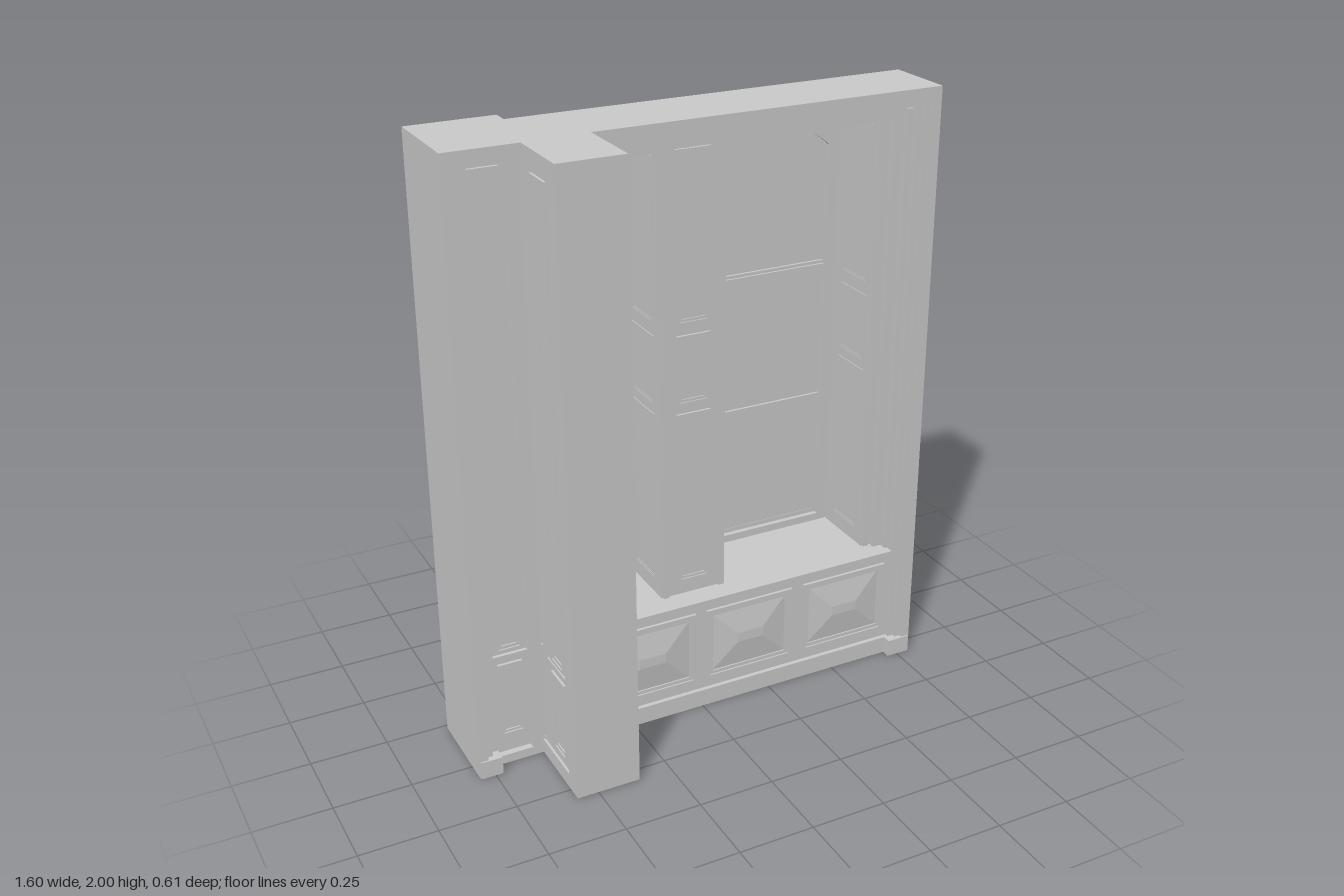
import * as THREE from 'three';

const material = new THREE.MeshStandardMaterial({ color: 0xcccccc, side: THREE.DoubleSide });
const WALL = -0.035; // front plane of the wall above the seat

function add(parent, name, geometry) {
  const mesh = new THREE.Mesh(geometry, material);
  mesh.name = name;
  parent.add(mesh);
  return mesh;
}

// Box given by its limits on each axis
function block(parent, name, x0, x1, y0, y1, z0, z1) {
  const mesh = add(parent, name, new THREE.BoxGeometry(x1 - x0, y1 - y0, z1 - z0));
  mesh.position.set((x0 + x1) / 2, (y0 + y1) / 2, (z0 + z1) / 2);
}

function rect(x0, x1, y0, y1, T = THREE.Shape) {
  const s = new T();
  s.moveTo(x0, y0);
  s.lineTo(x1, y0);
  s.lineTo(x1, y1);
  s.lineTo(x0, y1);
  s.closePath();
  return s;
}

// Rectangle with a shallow arched head
function arch(halfW, y0, ySide, rise, T = THREE.Shape) {
  const s = new T();
  s.moveTo(-halfW, y0);
  s.lineTo(halfW, y0);
  s.lineTo(halfW, ySide);
  s.bezierCurveTo(halfW * 0.55, ySide + rise * 1.33, -halfW * 0.55, ySide + rise * 1.33, -halfW, ySide);
  s.closePath();
  return s;
}

function sheet(parent, name, shape, holes, z, depth) {
  shape.holes.push(...holes);
  const mesh = add(parent, name, new THREE.ExtrudeGeometry(shape, { depth, bevelEnabled: false, curveSegments: 14 }));
  mesh.position.z = z;
}

// Framed panel facing +z: stepped moulding, with a pyramid field where wanted
function panel(parent, name, w, h, border, relief, field = 0) {
  const g = new THREE.Group();
  g.name = name;
  for (const [inset, depth] of [[0, relief], [border, relief / 2]]) {
    const a = w / 2 - inset, b = h / 2 - inset;
    sheet(g, 'panelMoulding', rect(-a, a, -b, b), [rect(-a + border, a - border, -b + border, b - border, THREE.Path)], 0, depth);
  }
  if (field) {
    const fw = w - border * 4, fh = h - border * 4;
    const slope = Math.min(fw, fh) * 0.42;
    const geo = new THREE.BoxGeometry(fw, fh, field);
    const p = geo.attributes.position;
    for (let i = 0; i < p.count; i++) {
      if (p.getZ(i) < 0) continue;
      p.setX(i, p.getX(i) - Math.sign(p.getX(i)) * slope);
      p.setY(i, p.getY(i) - Math.sign(p.getY(i)) * slope);
    }
    geo.computeVertexNormals();
    add(g, 'raisedField', geo).position.z = field / 2;
  }
  parent.add(g);
  return g;
}

// Window bay: deep reveals, head, sill and arched window at the back
function windowBay(cx, panelledSides) {
  const bay = new THREE.Group();
  bay.name = 'windowBay';
  bay.position.x = cx;
  const w = 0.28, y0 = 0.405, y1 = 1.9, back = -0.28;
  for (const s of [-1, 1]) {
    const x = s * (w - 0.007);
    block(bay, 'reveal', x - 0.007, x + 0.007, y0, y1, back, WALL);
    if (!panelledSides.includes(s)) continue;
    for (const [a, b] of [[0.46, 1.05], [1.08, 1.31], [1.35, 1.87]]) {
      for (const face of [-1, 1]) {
        const p = panel(bay, 'revealPanel', 0.15, b - a, 0.006, 0.003);
        p.position.set(x + face * 0.007, (a + b) / 2, -0.145);
        p.rotation.y = face * Math.PI / 2;
      }
    }
  }
  block(bay, 'revealHead', -w, w, y1 - 0.015, y1, back, WALL);
  const soffit = panel(bay, 'headPanel', 0.44, 0.15, 0.006, 0.003);
  soffit.position.set(0, y1, -0.145);
  soffit.rotation.x = -Math.PI / 2;
  block(bay, 'sill', -w, w, 0.39, y0 + 0.003, back, WALL);
  // Frame, its arched bead and the protruding sash behind
  sheet(bay, 'windowFrame', rect(-w, w, y0, 1.89), [arch(0.232, 0.43, 1.77, 0.08, THREE.Path)], -0.295, 0.025);
  sheet(bay, 'frameBead', arch(0.245, 0.418, 1.775, 0.085), [arch(0.225, 0.44, 1.765, 0.08, THREE.Path)], -0.27, 0.01);
  sheet(bay, 'sash', arch(0.245, 0.418, 1.775, 0.085), [arch(0.222, 0.445, 1.762, 0.08, THREE.Path)], -0.305, 0.012);
  sheet(bay, 'glass', arch(0.232, 0.43, 1.77, 0.08), [], -0.298, 0.004);
  // Glazing bars, the upper one moulded
  for (const [y, h, z] of [[1.35, 0.04, -0.285], [1.35, 0.02, -0.278], [0.885, 0.014, -0.285]]) {
    block(bay, 'glazingBar', -0.23, 0.23, y - h / 2, y + h / 2, -0.305, z);
  }
  for (const y of [0.58, 1.19, 1.57]) block(bay, 'hinge', -0.245, -0.23, y - 0.02, y + 0.02, -0.27, -0.255);
  return bay;
}

export function createModel() {
  const model = new THREE.Group();
  model.name = 'panelledWindowWall';

  // Outer shell, open at the back
  block(model, 'shellTop', -0.8, 0.8, 1.97, 2, -0.18, 0.055);
  block(model, 'shellFloor', -0.8, 0.8, 0, 0.03, -0.18, 0.03);
  block(model, 'shellSide', 0.78, 0.8, 0, 2, -0.18, 0.055);

  // Inner wall pierced by the two bays
  const bays = [-0.38, 0.38];
  sheet(model, 'innerWall', rect(-0.79, 0.79, 0.39, 1.98),
    bays.map(x => rect(x - 0.272, x + 0.272, 0.405, 1.89, THREE.Path)), WALL - 0.01, 0.01);
  model.add(windowBay(bays[0], [1]), windowBay(bays[1], [-1, 1]));
  for (const x of bays) {
    sheet(model, 'bayArchitrave', rect(x - 0.29, x + 0.29, 0.4, 1.91),
      [rect(x - 0.272, x + 0.272, 0.405, 1.89, THREE.Path)], WALL, 0.008);
  }

  // Central pilaster panels
  for (const [a, b] of [[0.455, 1.05], [1.08, 1.31], [1.345, 1.89]]) {
    panel(model, 'pilasterPanel', 0.115, b - a, 0.009, 0.008).position.set(0, (a + b) / 2, WALL);
  }

  // Dado with raised panels, skirting and seat
  block(model, 'dado', -0.565, 0.79, 0, 0.39, 0, 0.02);
  block(model, 'skirting', -0.565, 0.74, 0, 0.06, 0.02, 0.035);
  block(model, 'seat', -0.565, 0.72, 0.385, 0.408, WALL, 0.045);
  for (const [x, w] of [[-0.465, 0.17], [-0.18, 0.32], [0.18, 0.32], [0.545, 0.32]]) {
    for (const [z, turn] of [[0.02, 0], [0, Math.PI]]) {
      const p = panel(model, 'dadoPanel', w, 0.26, 0.012, 0.01, 0.012);
      p.position.set(x, 0.225, z);
      p.rotation.y = turn;
    }
  }

  // Stepped architrave on the left jamb and across the head
  const steps = [[0, 0.03, 0.06], [0.03, 0.05, 0.048], [0.05, 0.07, 0.035], [0.07, 0.09, 0.015], [0.09, 0.12, -0.01]];
  for (const [a, b, z] of steps) {
    block(model, 'jambMoulding', 0.8 - b, 0.8 - a, 0, 2 - a, WALL, z);
    block(model, 'headMoulding', -0.56, 0.8 - a, 2 - b * 0.75, 2 - a * 0.75, WALL, z);
  }
  block(model, 'plinth', 0.715, 0.795, 0, 0.06, 0, 0.065);

  // Corner column behind the recessed side bay
  block(model, 'columnBody', -0.8, -0.665, 0, 2, -0.235, 0);
  block(model, 'columnBase', -0.665, -0.52, 0, 0.4, -0.235, 0);
  block(model, 'columnHead', -0.665, -0.52, 1.9, 2, -0.235, 0);

  // Recessed side bay with jambs, head and two panels
  block(model, 'sideBoard', -0.79, -0.56, 0.03, 1.97, 0, 0.008);
  for (const [a, b, z] of [[0, 0.03, 0.07], [0.03, 0.05, 0.055], [0.05, 0.075, 0.035]]) {
    block(model, 'sideJamb', -0.8 + a, -0.8 + b, 0, 2, 0, z);
    block(model, 'sideHead', -0.8 + a, -0.56, 2 - b * 0.7, 2 - a * 0.7, 0, z);
  }
  block(model, 'sideInnerJamb', -0.605, -0.56, 0, 1.95, 0, 0.03);
  block(model, 'sidePlinth', -0.795, -0.725, 0, 0.06, 0, 0.075);
  block(model, 'sideRail', -0.725, -0.6, 0.365, 0.39, 0, 0.02);
  panel(model, 'sideLowerPanel', 0.08, 0.26, 0.008, 0.01).position.set(-0.663, 0.225, 0.008);
  panel(model, 'sideUpperPanel', 0.09, 1.53, 0.01, 0.01).position.set(-0.663, 1.165, 0.008);

  // Projecting pier: hollow, open towards the windows
  const pier = new THREE.Group();
  pier.name = 'pier';
  model.add(pier);
  block(pier, 'pierFront', -0.57, -0.36, 0, 2, 0.25, 0.3);
  block(pier, 'pierTop', -0.57, -0.36, 1.95, 2, 0, 0.25);
  block(pier, 'pierFloor', -0.57, -0.36, 0, 0.05, 0, 0.25);
  block(pier, 'pierWall', -0.562, -0.555, 0, 2, 0, 0.3);
  block(pier, 'innerReturn', -0.565, -0.555, 0.405, 1.9, -0.275, 0);
  for (const [face, x] of [[-1, -0.562], [1, -0.555]]) {
    for (const [a, b] of [[0.08, 0.36], [0.4, 1.93]]) {
      const p = panel(pier, 'pierPanel', 0.1, b - a, 0.011, 0.008);
      p.position.set(x, (a + b) / 2, 0.17);
      p.rotation.y = face * Math.PI / 2;
    }
    block(pier, 'pierRail', x - 0.006, x + 0.006, 0.37, 0.39, 0.09, 0.24);
    block(pier, 'pierStile', x - 0.008, x + 0.008, 0.05, 1.95, 0.235, 0.25);
  }
  return model;
}
